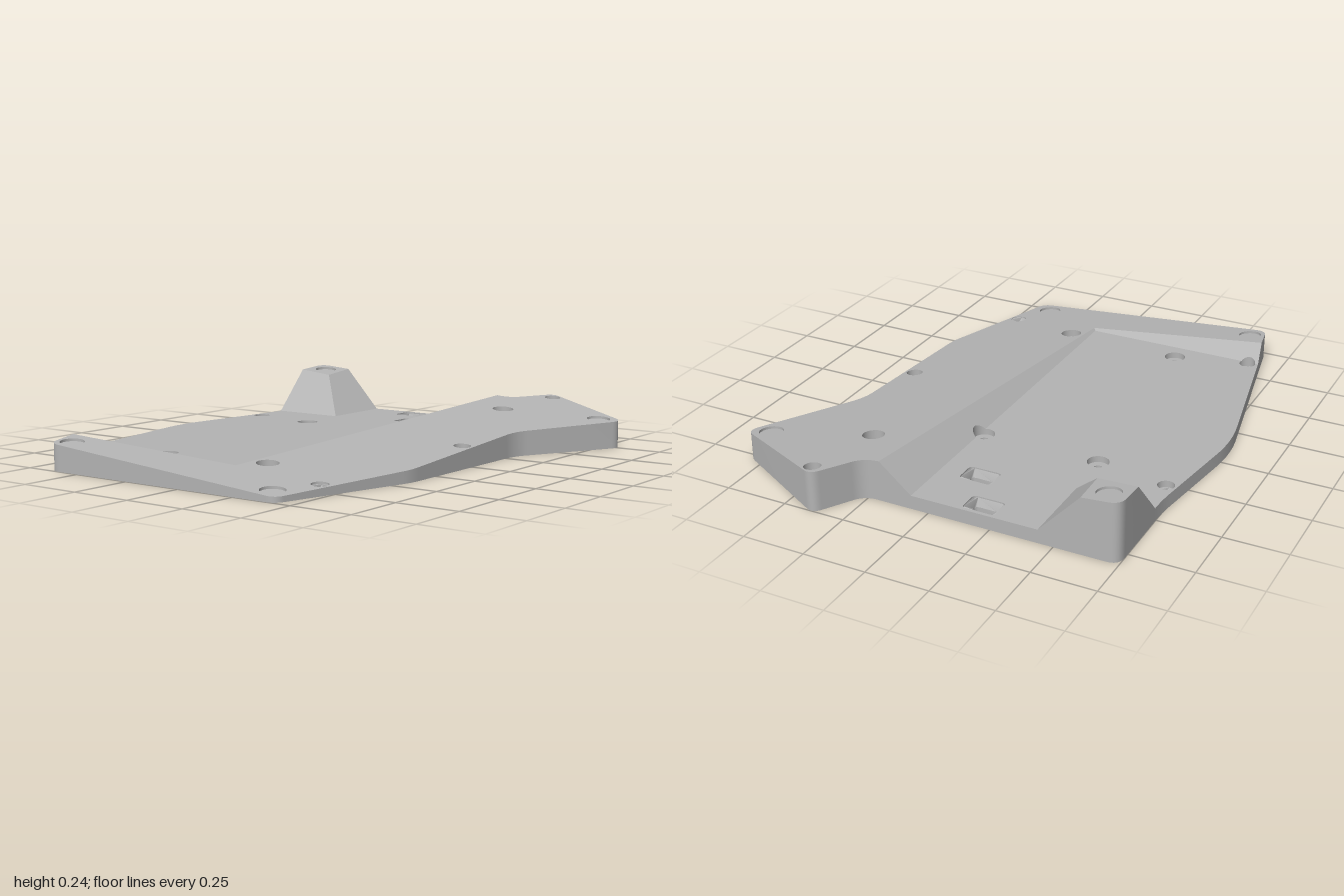
import * as THREE from 'three';
import { toCreasedNormals } from 'three/addons/utils/BufferGeometryUtils.js';

// Planes over the plan, as [a, b, c] meaning y = a + b*x + c*z
const DECK = [0.123, 0.069, -0.08];                       // tilted upper deck
const FLOOR = [0.055, 0, 0];                              // flat pocket floor
const FRONT = [0.055 - 0.84 * 0.07, 0, 0.84];             // slope in front of the pocket
const SIDE = [0.055 - 0.78 * 0.77, -0.78, 0];             // slope at the right side of the pocket
const TOWER_X = [0.055 - 1.07 * 0.51, 1.07, 0];           // two slopes of the raised corner
const TOWER_Z = [0.055 - 1.07 * 0.44, 0, -1.07];

const at = (p, x, z) => p[0] + p[1] * x + p[2] * z;
const deck = (x, z) => at(DECK, x, z);
const surface = (x, z) => Math.min(deck(x, z), Math.max(
  at(FLOOR, x, z), at(FRONT, x, z), at(SIDE, x, z),
  Math.min(at(TOWER_X, x, z), at(TOWER_Z, x, z))));

// Lines in plan where two planes meet
const CREASES = [
  [FRONT, FLOOR], [SIDE, FLOOR], [TOWER_X, FLOOR], [TOWER_Z, FLOOR],
  [FRONT, DECK], [SIDE, DECK], [TOWER_X, DECK], [TOWER_Z, DECK],
  [FRONT, SIDE], [TOWER_X, TOWER_Z],
].map(([p, q]) => p.map((v, i) => v - q[i]));

// Cuts a list of triangles along one vertical plane
function cut(tris, line) {
  const out = [];
  for (const tri of tris) {
    const d = tri.map((v) => {
      const s = at(line, v.x, v.z);
      return Math.abs(s) < 1e-6 ? 0 : s;
    });
    if (d.every((s) => s >= 0) || d.every((s) => s <= 0)) {
      out.push(tri);
      continue;
    }
    for (const sign of [1, -1]) {
      const poly = [];
      for (let i = 0; i < 3; i++) {
        const j = (i + 1) % 3;
        if (d[i] * sign >= 0) poly.push(tri[i]);
        if (d[i] * d[j] < 0) poly.push(tri[i].clone().lerp(tri[j], d[i] / (d[i] - d[j])));
      }
      for (let i = 2; i < poly.length; i++) out.push([poly[0], poly[i - 1], poly[i]]);
    }
  }
  return out;
}

// Extrudes a plan shape from y = 0 up to a height rule
function raise(shape, height, creases = []) {
  const geo = new THREE.ExtrudeGeometry(shape, { depth: 1, bevelEnabled: false, curveSegments: 14 });
  geo.rotateX(-Math.PI / 2);
  const pos = geo.attributes.position;
  let tris = [];
  for (let i = 0; i < pos.count; i += 3) {
    tris.push([0, 1, 2].map((k) => new THREE.Vector3().fromBufferAttribute(pos, i + k)));
  }
  for (const line of creases) tris = cut(tris, line);
  const points = tris.flat().map((v) => new THREE.Vector3(v.x, v.y * height(v.x, v.z), v.z));
  const result = new THREE.BufferGeometry().setFromPoints(points);
  // enlarged while finding normals so that small holes stay crisp
  result.scale(100, 100, 100);
  return toCreasedNormals(result, 0.4).scale(0.01, 0.01, 0.01);
}

// Closed outline with softened corners; each corner is [x, z, softening]
function rounded(corners, path) {
  const pts = corners.map(([x, z]) => new THREE.Vector2(x, -z));
  const n = pts.length;
  pts.forEach((p, i) => {
    const toward = (q) => p.clone().add(q.clone().sub(p).setLength(corners[i][2]));
    const a = toward(pts[(i + n - 1) % n]);
    const b = toward(pts[(i + 1) % n]);
    if (i === 0) path.moveTo(a.x, a.y);
    else path.lineTo(a.x, a.y);
    path.quadraticCurveTo(p.x, p.y, b.x, b.y);
  });
  path.closePath();
  return path;
}

const circle = (x, z, r, path) => path.absarc(x, -z, r, 0, Math.PI * 2, false);
const slot = (x, z, w, d, path) => rounded(
  [[x - w, z + d, 0.018], [x + w, z + d, 0.018], [x + w, z - d, 0.018], [x - w, z - d, 0.018]], path);

export function createModel() {
  const group = new THREE.Group();
  const grey = new THREE.MeshStandardMaterial({ color: 0xb4b4b4 });
  grey.name = 'grey';
  const add = (name, geo) => {
    const mesh = new THREE.Mesh(geo, grey);
    mesh.name = name;
    group.add(mesh);
  };

  // Plan outline of the case
  const body = rounded([
    [-1, 0.435, 0.04], [-0.41, 0.587, 0.04], [0.31, 0.587, 0.06], [0.765, 0.827, 0.05],
    [1.01, 0.375, 0.04], [0.825, 0.265, 0.05], [0.825, -0.75, 0.05], [0.45, -0.75, 0.06],
    [-0.08, -0.823, 0.12], [-1, -0.64, 0.05],
  ], new THREE.Shape());

  // Stepped bores for the fixings
  const bores = [[-0.68, -0.345], [0.295, -0.43], [0.295, 0.055], [-0.68, 0.145], [0.62, 0.35]];
  for (const [x, z] of bores) {
    body.holes.push(circle(x, z, 0.043, new THREE.Path()));
    const ring = circle(x, z, 0.043, new THREE.Shape());
    ring.holes.push(circle(x, z, 0.016, new THREE.Path()));
    add('boreLedge', raise(ring, () => 0.03));
  }

  // Countersunk holes along the rim
  const sinks = [[-0.757, -0.643], [0.342, -0.723], [0.95, 0.402], [-0.773, 0.452], [-0.008, 0.545]];
  for (const [x, z] of sinks) {
    body.holes.push(circle(x, z, 0.033, new THREE.Path()));
    const ring = circle(x, z, 0.033, new THREE.Shape());
    ring.holes.push(circle(x, z, 0.016, new THREE.Path()));
    add('countersink', raise(ring, (px, pz) => 0.006 + 1.3 * (Math.hypot(px - x, pz - z) - 0.016)));
  }

  // Shallow round recesses in the corners
  const pads = [[-0.932, 0.372], [-0.932, -0.59], [0.735, 0.735], [0.75, -0.675]];
  for (const [x, z] of pads) {
    body.holes.push(circle(x, z, 0.047, new THREE.Path()));
    add('cornerRecess', raise(circle(x, z, 0.047, new THREE.Shape()), (px, pz) => deck(px, pz) - 0.01));
  }

  // Rectangular openings with tapered frames
  for (const [x, z] of [[0.585, -0.085], [0.765, -0.197]]) {
    body.holes.push(slot(x, z, 0.046, 0.066, new THREE.Path()));
    const frame = slot(x, z, 0.046, 0.066, new THREE.Shape());
    frame.holes.push(slot(x, z, 0.031, 0.051, new THREE.Path()));
    add('slotFrame', raise(frame, (px, pz) => {
      const t = Math.max(Math.abs(px - x) - 0.031, Math.abs(pz - z) - 0.051) / 0.015;
      return 0.02 + 0.03 * THREE.MathUtils.clamp(t, 0, 1);
    }));
  }

  add('caseBody', raise(body, surface, CREASES));
  return group;
}
